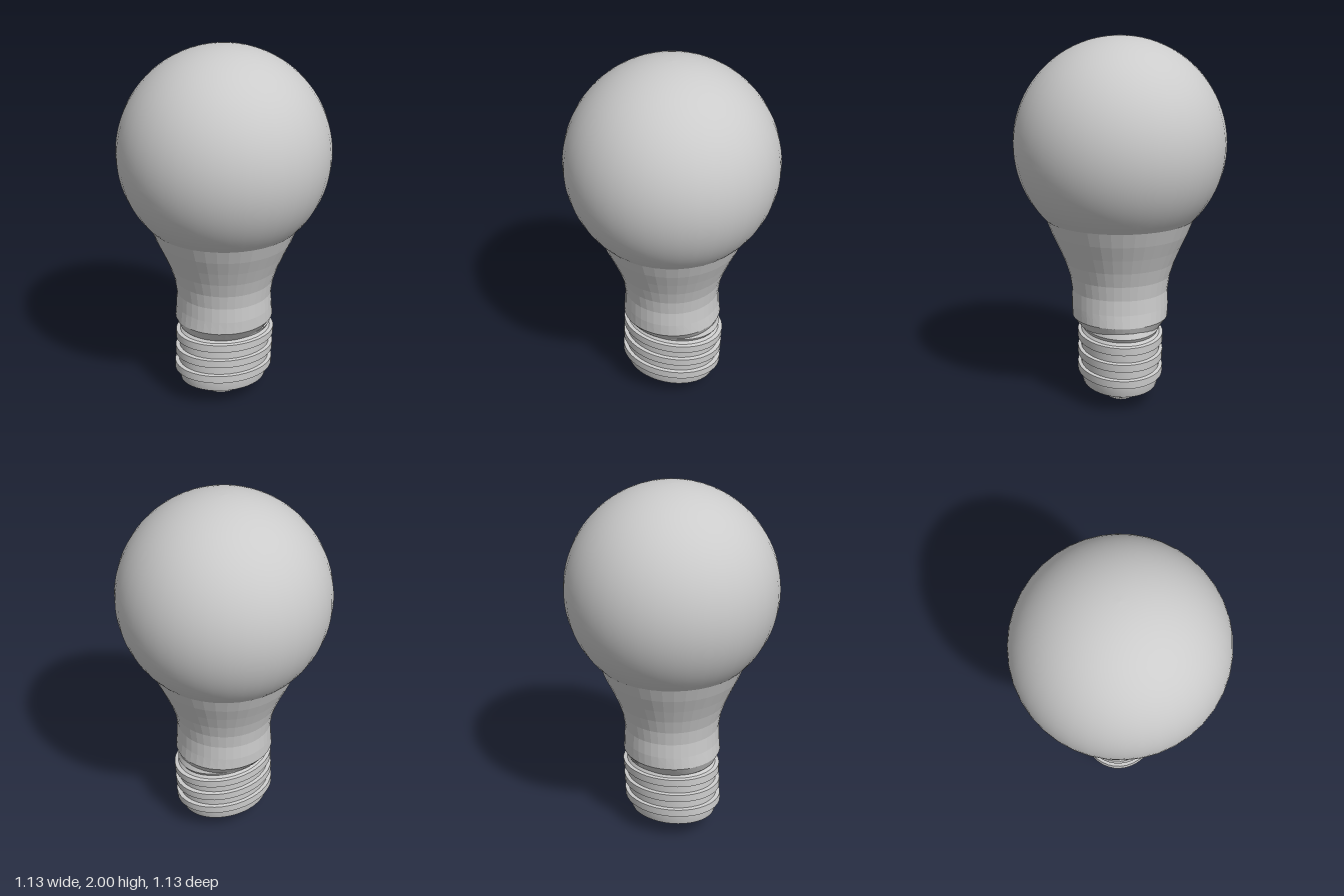
import * as THREE from 'three';
import { toCreasedNormals } from 'three/addons/utils/BufferGeometryUtils.js';

const SIDES = 40;

function lathe(points) {
  return new THREE.LatheGeometry(points.map(([r, y]) => new THREE.Vector2(r, y)), SIDES);
}

function addMesh(parent, name, geometry, flatShading = false) {
  const material = new THREE.MeshStandardMaterial({ color: 0xcccccc, flatShading, side: THREE.DoubleSide });
  const mesh = new THREE.Mesh(geometry, material);
  mesh.name = name;
  parent.add(mesh);
  return mesh;
}

export function createModel() {
  const bulb = new THREE.Group();
  bulb.name = 'lightBulb';

  // Round globe, open where it meets the neck
  const radius = 0.565, centre = 1.435, start = -0.775, steps = 32;
  const arc = [];
  for (let i = 0; i <= steps; i++) {
    const a = start + (Math.PI / 2 - start) * i / steps;
    arc.push([i === steps ? 0 : radius * Math.cos(a), centre + radius * Math.sin(a)]);
  }
  addMesh(bulb, 'globe', lathe(arc));

  // Faceted flared neck, its lower lip squeezed front to back towards the base
  const neck = lathe([
    [0.23, 0.42], [0.25, 0.44], [0.272, 0.49], [0.263, 0.56], [0.26, 0.64],
    [0.272, 0.72], [0.298, 0.8], [0.332, 0.88], [0.369, 0.96], [0.4, 1.04],
  ]);
  const pos = neck.attributes.position;
  for (let i = 0; i < pos.count; i++) {
    const y = pos.getY(i);
    const squeeze = y < 0.46 ? 0.12 : y < 0.52 ? 0.045 : 0;
    pos.setZ(i, pos.getZ(i) * (1 - squeeze));
  }
  addMesh(bulb, 'neck', neck, true);

  // Oval screw base, slightly tilted
  const pivot = 0.25;
  const base = new THREE.Group();
  base.name = 'screwBase';
  base.position.y = pivot;
  base.rotation.z = -0.047;
  bulb.add(base);

  const profile = [[0.25, 0.105], [0.262, 0.15]];
  for (const y of [0.167, 0.262, 0.357]) {
    profile.push([0.262, y], [0.285, y + 0.003], [0.285, y + 0.045], [0.262, y + 0.048]);
  }
  profile.push([0.25, 0.42], [0.262, 0.44], [0.25, 0.47], [0, 0.47]);

  const parts = {
    threadedSleeve: profile,
    insulator: [[0.095, 0.027], [0.25, 0.105]],
    contactTip: [[0, 0], [0.06, 0.008], [0.095, 0.018], [0.095, 0.027]],
  };
  for (const [name, points] of Object.entries(parts)) {
    const geometry = lathe(points).translate(0, -pivot, 0).scale(1, 1, 0.81);
    addMesh(base, name, toCreasedNormals(geometry, 0.4));
  }
  return bulb;
}
